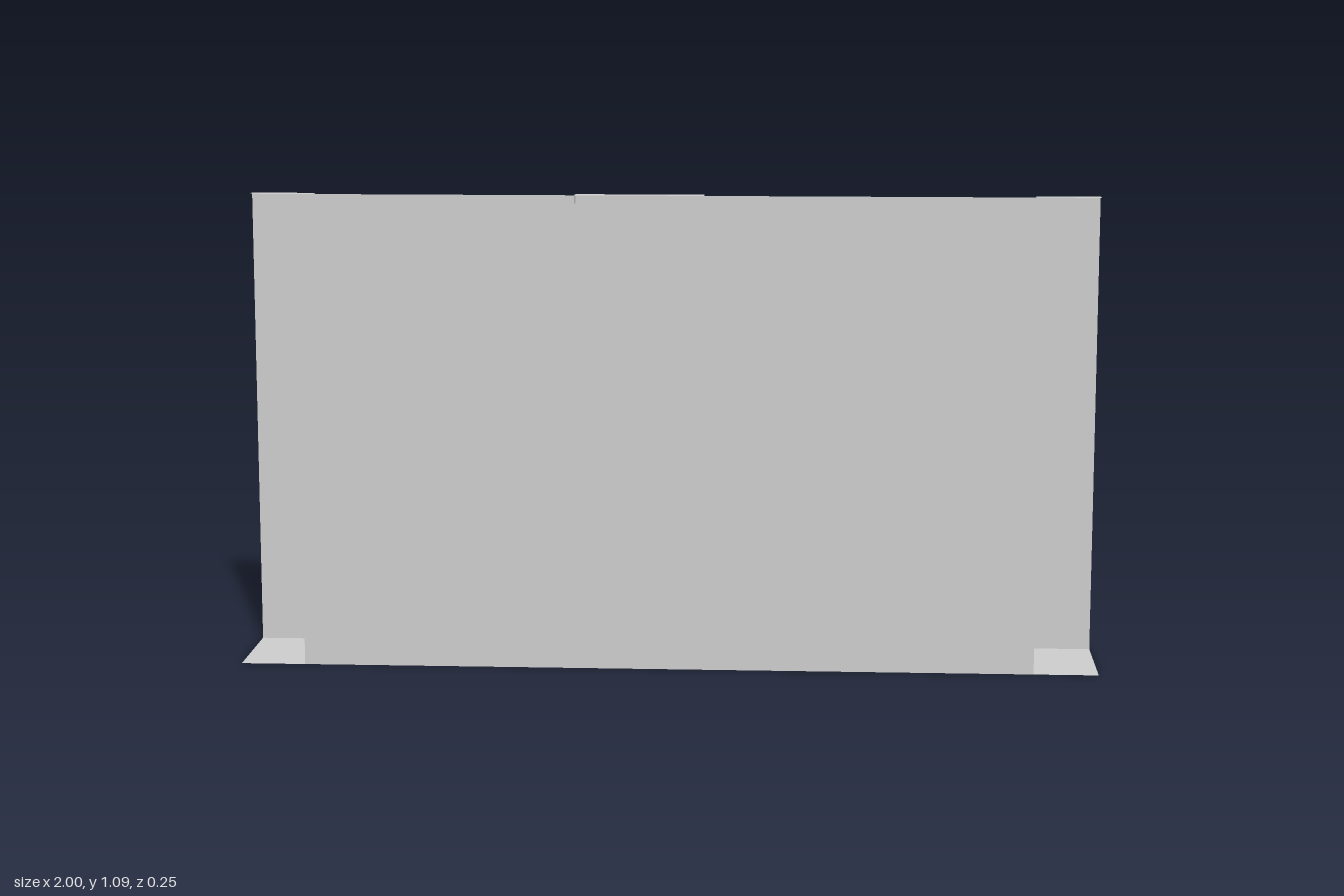
import * as THREE from 'three';

const BACK = -0.125, INNER = -0.092, FRONT = 0.125, TOP = 1.085;
const DEPTH = INNER - BACK, MID = (INNER + BACK) / 2;
const posts = [[-1, -0.85], [-0.23, 0.075], [0.85, 1]];
const bays = [[-0.85, -0.23], [0.075, 0.85]];
const rails = [[0.083, 0.168], [0.918, 1.003]];
const recesses = [[0, 0.083], [0.168, 0.918], [1.003, TOP]];

export function createModel() {
  const model = new THREE.Group();
  const material = new THREE.MeshStandardMaterial({
    color: 0xcccccc, flatShading: true, side: THREE.DoubleSide,
  });

  // Thin rectangular sheets: upright, level, or facing sideways
  const sheet = (name, w, h, x, y, z, rx = 0, ry = 0) => {
    const mesh = new THREE.Mesh(new THREE.PlaneGeometry(w, h), material);
    mesh.name = name;
    mesh.position.set(x, y, z);
    mesh.rotation.set(rx, ry, 0);
    model.add(mesh);
  };
  const upright = (name, [x0, x1], [y0, y1], z, ry = 0) =>
    sheet(name, x1 - x0, y1 - y0, (x0 + x1) / 2, (y0 + y1) / 2, z, 0, ry);
  const level = (name, [x0, x1], y, [z0, z1], up = true) =>
    sheet(name, x1 - x0, z1 - z0, (x0 + x1) / 2, y, (z0 + z1) / 2, up ? -Math.PI / 2 : Math.PI / 2);

  // Free-standing front panel and floor
  upright('frontPanel', [-0.85, 0.85], [0, TOP], FRONT);
  level('floor', [-1, 1], 0, [INNER, FRONT]);

  // Posts of the back wall with their top caps and floor tabs
  for (const post of posts) {
    upright('post', post, [0, TOP], BACK, Math.PI);
    level('postCap', post, TOP, [BACK, INNER]);
    level('floorTab', post, 0, [BACK, INNER], false);
  }

  for (const bay of bays) {
    // Cross rails with ledges above and below
    for (const rail of rails) {
      upright('rail', bay, rail, BACK, Math.PI);
      level('railUnderside', bay, rail[0], [BACK, INNER], false);
      level('railLedge', bay, rail[1], [BACK, INNER]);
    }
    // Recessed panels with side walls
    for (const span of recesses) {
      upright('recessedPanel', bay, span, INNER, Math.PI);
      bay.forEach((x, i) => sheet('recessSide', DEPTH, span[1] - span[0],
        x, (span[0] + span[1]) / 2, MID, 0, i ? -Math.PI / 2 : Math.PI / 2));
    }
  }
  return model;
}
